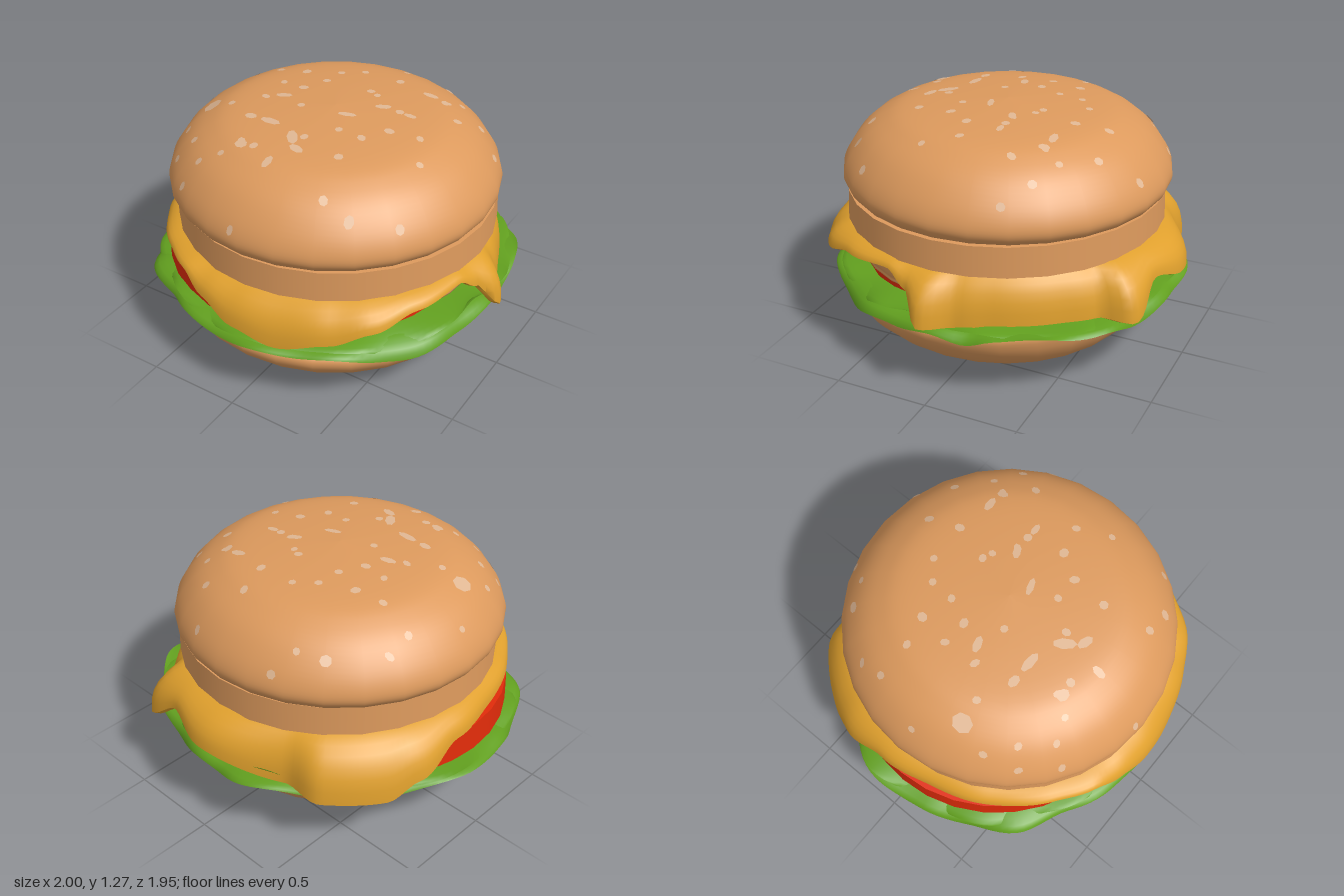
import * as THREE from 'three';
import { toCreasedNormals } from 'three/addons/utils/BufferGeometryUtils.js';

const mat = (name, color, side = THREE.FrontSide) => {
  const m = new THREE.MeshStandardMaterial({ color, side });
  m.name = name;
  return m;
};

// Smooth periodic lookup in rows of [degrees, radius, height]
function sample(keys, deg) {
  const n = keys.length;
  const first = keys[0][0];
  const d = first + ((((deg - first) % 360) + 360) % 360);
  let i = n - 1;
  while (keys[i][0] > d) i--;
  const a = keys[i], b = keys[(i + 1) % n];
  const end = i === n - 1 ? b[0] + 360 : b[0];
  const t = (d - a[0]) / (end - a[0]);
  const s = t * t * (3 - 2 * t);
  return [a[1] + (b[1] - a[1]) * s, a[2] + (b[2] - a[2]) * s];
}

// Closed ring swept around y; section(deg) lists [radius, y] from the inner top outward and back
function ring(section, segments = 144) {
  const pos = [], idx = [];
  let n = 0;
  for (let i = 0; i < segments; i++) {
    const deg = (i / segments) * 360, a = THREE.MathUtils.degToRad(deg);
    const pts = section(deg);
    n = pts.length;
    for (const [r, y] of pts) pos.push(r * Math.sin(a), y, r * Math.cos(a));
  }
  for (let i = 0; i < segments; i++) {
    for (let j = 0; j < n; j++) {
      const k = (i + 1) % segments, l = (j + 1) % n;
      const a = i * n + j, b = i * n + l, c = k * n + j, d = k * n + l;
      idx.push(a, b, c, b, d, c);
    }
  }
  const g = new THREE.BufferGeometry();
  g.setAttribute('position', new THREE.Float32BufferAttribute(pos, 3));
  g.setIndex(idx);
  return toCreasedNormals(g, 0.9);
}

// Section of a thin sheet that runs from (r0, y0) to (r1, y1), bending down by the power
function sheetSection(r0, y0, r1, y1, thick, power, ripple = 0) {
  const top = [], under = [];
  const steps = 8;
  for (let j = 0; j <= steps; j++) {
    const t = j / steps;
    const r = r0 + (r1 - r0) * Math.sin(t * Math.PI / 2);
    const y = y0 + (y1 - y0) * Math.pow(t, power) + ripple * t * t;
    top.push([r, y]);
    under.unshift([r - thick * t, y - thick * (1 - 0.6 * t)]);
  }
  return [...top, ...under];
}

// Round part turned from a smoothed profile
function turned(points, segments, divisions = 32) {
  const curve = new THREE.SplineCurve(points.map(([x, y]) => new THREE.Vector2(x, y)));
  const pts = curve.getPoints(divisions);
  pts.forEach((p) => { p.x = Math.max(0, p.x); });
  return new THREE.LatheGeometry(pts, segments);
}

// Drape of the cheese edge; 0 degrees is the front, 90 is +x
const cheeseEdge = [
  [0, 0.97, 0.49], [14, 0.97, 0.44], [30, 0.98, 0.50], [42, 0.99, 0.57], [56, 0.95, 0.63],
  [74, 0.91, 0.65], [81, 0.92, 0.58], [88, 1.0, 0.43], [98, 0.9, 0.42], [110, 0.88, 0.44],
  [130, 0.88, 0.44], [143, 0.9, 0.44], [151, 1.03, 0.43], [164, 0.95, 0.57], [178, 0.98, 0.51],
  [207, 0.9, 0.42], [219, 0.99, 0.39], [238, 0.99, 0.38], [248, 0.98, 0.46], [264, 0.92, 0.57],
  [283, 0.89, 0.58], [303, 0.91, 0.61], [325, 0.93, 0.65], [338, 0.95, 0.65], [348, 0.96, 0.57],
];

// Ruffled lettuce edge
const lettuceEdge = [
  [0, 0.96, 0.37], [25, 0.95, 0.385], [45, 0.93, 0.34], [58, 0.93, 0.31], [75, 0.92, 0.35],
  [90, 0.92, 0.36], [100, 0.93, 0.35], [110, 0.96, 0.4], [124, 0.98, 0.42], [141, 0.97, 0.38],
  [160, 0.92, 0.33], [180, 0.92, 0.35], [192, 0.96, 0.38], [210, 0.92, 0.38], [245, 0.93, 0.36],
  [267, 1.01, 0.40], [282, 0.98, 0.35], [297, 0.98, 0.31], [312, 1.0, 0.34], [330, 0.95, 0.36],
];

// Small sesame seeds as x, z pairs
const smallSeeds = [
  -0.36, -0.65, 0.08, -0.57, 0.32, -0.61, -0.08, -0.4, 0.13, -0.41, 0.43, -0.38, -0.18, -0.32, -0.35, -0.24,
  -0.5, -0.21, -0.19, -0.19, -0.68, -0.36, -0.68, -0.23, 0.07, -0.21, 0.22, -0.11, 0.3, -0.11, 0.12, -0.19,
  0.55, -0.26, 0.62, -0.4, 0.47, -0.47, -0.25, -0.06, -0.38, -0.07, -0.15, 0.11, 0.35, 0.08, 0.5, 0.04,
  -0.5, 0.23, -0.37, 0.11, 0.03, 0.35, -0.66, 0.4, -0.23, 0.51, -0.15, 0.52, -0.29, 0.6, 0.27, 0.21,
  0.26, 0.4, 0.59, 0.2, 0.33, 0.64, -0.4, 0.64, 0.14, 0.21, 0.66, 0.5, -0.53, 0.51, 0.55, 0.7,
  -0.05, 0.865, -0.6, 0.57, 0.8, 0.35, -0.45, 0.72, 0.75, -0.3, -0.78, 0.05, 0.2, -0.78, -0.3, -0.76,
];

// Larger seeds: x, z, half width, half height, turn
const largeSeeds = [
  [-0.62, 0.24, 0.05, 0.055, 0.3], [-0.49, -0.59, 0.03, 0.03, 0], [0.33, -0.38, 0.045, 0.022, 0],
  [0.1, 0.07, 0.05, 0.018, 0.3], [-0.02, 0.38, 0.06, 0.028, -0.9], [0.05, 0.45, 0.045, 0.024, -0.3],
  [-0.2, 0.31, 0.06, 0.024, 0], [0.36, -0.11, 0.035, 0.018, 0], [-0.29, 0.06, 0.045, 0.022, 0.4],
  [-0.22, 0.53, 0.035, 0.028, 0], [-0.02, 0.59, 0.022, 0.04, 0], [0.47, 0.64, 0.025, 0.035, 0],
  [0.2, -0.1, 0.035, 0.02, 0.5], [-0.32, 0.31, 0.035, 0.024, 0], [0.42, -0.37, 0.022, 0.03, 0],
];

export function createModel() {
  const model = new THREE.Group();
  model.name = 'hamburger';
  const bread = mat('toasted tan', 0xdd9a5d);
  const seedColor = mat('pale seed', 0xe0b793, THREE.DoubleSide);
  const cheeseColor = mat('cheese yellow', 0xe0a02d);
  const tomatoColor = mat('tomato red', 0xe32c0a);
  const lettuceColor = mat('lettuce green', 0x62a01f, THREE.DoubleSide);

  const add = (name, geometry, material, x = 0, y = 0, z = 0) => {
    const m = new THREE.Mesh(geometry, material);
    m.name = name;
    m.position.set(x, y, z);
    model.add(m);
    return m;
  };

  // Bottom bun, leaning forward towards its rim
  const base = turned([[0, 0.015], [0.2, 0.01], [0.4, 0.004], [0.55, 0.035], [0.7, 0.115], [0.8, 0.215],
    [0.842, 0.305], [0.81, 0.355], [0.7, 0.385], [0, 0.395]], 28, 40);
  const p = base.attributes.position;
  for (let i = 0; i < p.count; i++) {
    p.setZ(i, p.getZ(i) + 0.065 * Math.min(p.getY(i) / 0.28, 1));
    p.setY(i, Math.max(0, p.getY(i)));
  }
  base.computeVertexNormals();
  add('bottomBun', base, bread, 0.015);

  // Two lettuce leaves with rippled edges
  add('lowerLettuce', ring((deg) => {
    const [r, y] = sample(lettuceEdge, deg);
    const w = Math.sin(THREE.MathUtils.degToRad(deg) * 13);
    return sheetSection(0.6, 0.415, r + 0.008 * w, y, 0.022, 2.5, 0.012 * w);
  }), lettuceColor);
  add('upperLettuce', ring((deg) => {
    const [r, y] = sample(lettuceEdge, deg + 6);
    const w = Math.sin(THREE.MathUtils.degToRad(deg) * 11 + 1);
    const fold = 0.07 * Math.exp(-(((deg - 84) / 10) ** 2)) + 0.07 * Math.exp(-(((deg - 195) / 22) ** 2));
    return sheetSection(0.6, 0.43, r - 0.025 + 0.012 * w, y * 0.6 + 0.175, 0.022, 1.6, 0.018 * w + fold);
  }), lettuceColor);

  // Tilted tomato slice
  const tomato = add('tomatoSlice', new THREE.CylinderGeometry(0.825, 0.825, 0.15, 32), tomatoColor, -0.09, 0.473, 0.04);
  tomato.rotation.z = -0.035;
  tomato.scale.z = 0.97;

  // Lower and upper patties
  add('lowerPatty', turned([[0, 0.48], [0.7, 0.48], [0.79, 0.52], [0.81, 0.59], [0.79, 0.65], [0.7, 0.69], [0, 0.69]], 32),
    bread, 0.01, 0, 0.02);
  add('upperPatty', new THREE.CylinderGeometry(0.838, 0.845, 0.16, 28), bread, 0.015, 0.765, 0.02);

  // Melted cheese slice
  add('cheese', ring((deg) => {
    const [r, y] = sample(cheeseEdge, deg);
    return sheetSection(0.72, 0.705, r, y, 0.03, 2);
  }, 180), cheeseColor);

  // Top bun
  const topBun = add('topBun', turned([[0, 0.86], [0.6, 0.85], [0.79, 0.835], [0.85, 0.87], [0.866, 0.93], [0.83, 1.02],
    [0.75, 1.12], [0.65, 1.19], [0.53, 1.235], [0.3, 1.26], [0, 1.275]], 28, 44), bread, 0, 0, 0.02);
  topBun.updateMatrixWorld(true);

  // Sesame seeds laid flush on the dome
  const seeds = new THREE.Group();
  seeds.name = 'seeds';
  model.add(seeds);
  const ray = new THREE.Raycaster();
  const down = new THREE.Vector3(0, -1, 0), front = new THREE.Vector3(0, 0, 1);
  const seed = (x, z, w, h, turn) => {
    ray.set(new THREE.Vector3(x, 2, z), down);
    const hit = ray.intersectObject(topBun)[0];
    if (!hit) return;
    const m = new THREE.Mesh(new THREE.CircleGeometry(1, 7), seedColor);
    m.name = 'seed';
    m.scale.set(w, h, 1);
    m.position.copy(hit.point).addScaledVector(hit.face.normal, 0.003);
    m.quaternion.setFromUnitVectors(front, hit.face.normal);
    m.rotateZ(turn);
    seeds.add(m);
  };
  for (const s of largeSeeds) seed(...s);
  for (let i = 0; i < smallSeeds.length; i += 2) {
    seed(smallSeeds[i], smallSeeds[i + 1], 0.02 + 0.004 * (i % 3), 0.018 + 0.003 * (i % 5) / 2, i);
  }
  return model;
}
